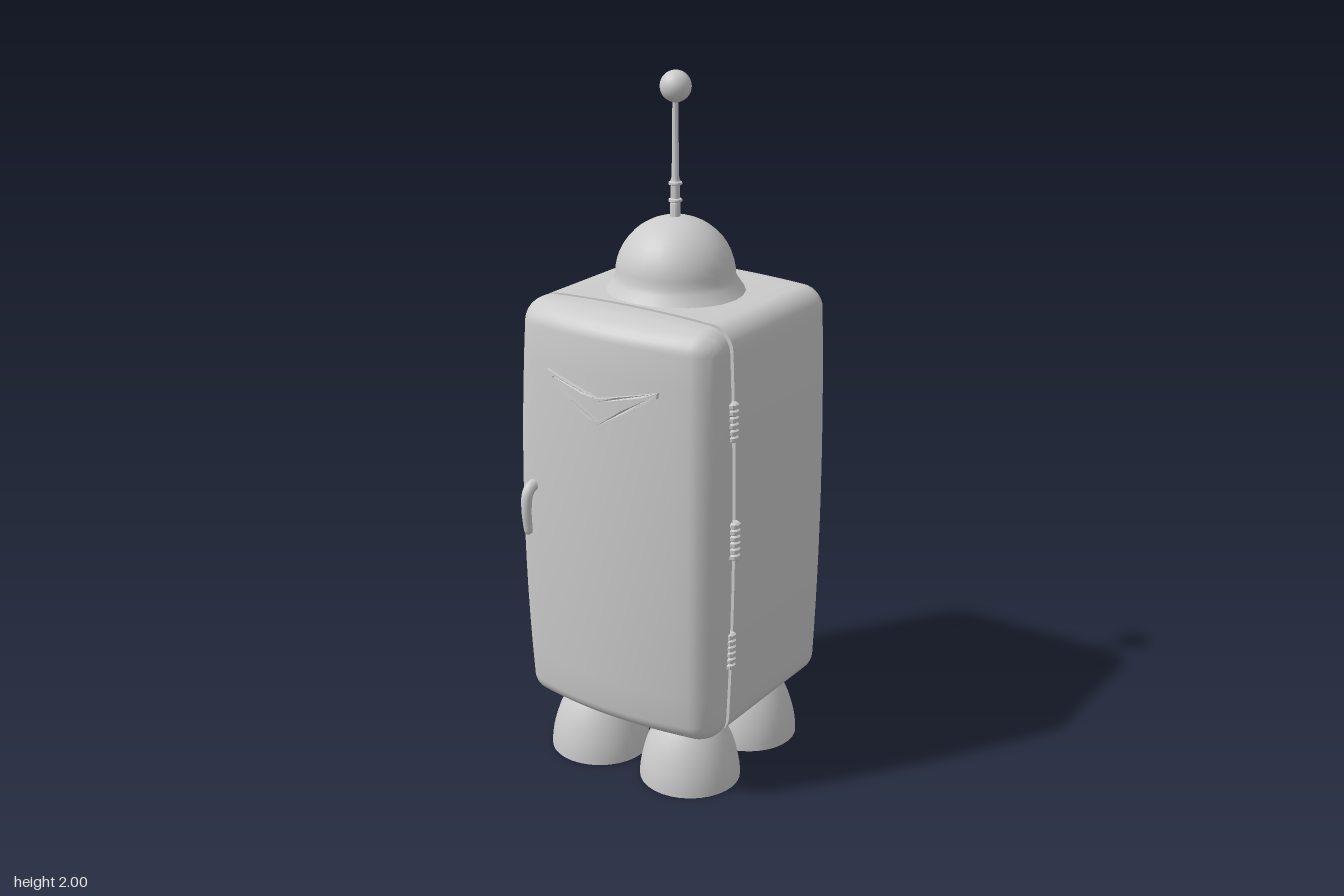
import * as THREE from 'three';
import { toCreasedNormals } from 'three/addons/utils/BufferGeometryUtils.js';

const grey = new THREE.MeshStandardMaterial({ color: 0xcccccc });
const greyThin = new THREE.MeshStandardMaterial({ color: 0xcccccc, side: THREE.DoubleSide });
const CX = -0.01, MID_Y = 0.79, HALF_Y = 0.6, HALF_X = 0.318;
const clamp = THREE.MathUtils.clamp;

function add(parent, name, geometry, x = 0, y = 0, z = 0, material = grey) {
  const mesh = new THREE.Mesh(geometry, material);
  mesh.name = name;
  mesh.position.set(x, y, z);
  parent.add(mesh);
  return mesh;
}

const lathe = (points, sides) =>
  new THREE.LatheGeometry(points.map(([r, y]) => new THREE.Vector2(Math.max(r, 0), y)), sides);

// Amount the door front swells outward at a given place
const doorSwell = (x, y) =>
  0.055 * (1 - (x / 0.33) ** 2) + 0.02 * (1 - ((y - MID_Y) / HALF_Y) ** 2);
const DOOR_BACK = 0.195, DOOR_EDGE = 0.27;

// Cabinet piece: box with rounded edges and swollen sides.
// round = -1 rounds the back face, 1 the front face, 0 neither
function shell(z0, z1, round, inset = 0) {
  const n = 20, band = 4, r = 0.06, hx = HALF_X - inset, hy = HALF_Y - inset;
  // gather grid lines near the edges, where the rounding is
  const spread = (t, lo, hi) => {
    const k = t * n, len = hi - lo, b = Math.min(r, len * 0.45);
    const edge = (e) => b * (1 - Math.tan((1 - e / band) * Math.PI / 4));
    if (k <= band) return lo + edge(k);
    if (k >= n - band) return hi - edge(n - k);
    return lo + b + (len - 2 * b) * (k - band) / (n - 2 * band);
  };
  const geo = new THREE.BoxGeometry(1, 1, 1, n, n, n);
  const pos = geo.attributes.position;
  const p = new THREE.Vector3(), inner = new THREE.Vector3();
  for (let i = 0; i < pos.count; i++) {
    p.fromBufferAttribute(pos, i).addScalar(0.5);
    p.set(spread(p.x, -hx, hx), spread(p.y, -hy, hy), spread(p.z, z0, z1));
    inner.set(clamp(p.x, -hx + r, hx - r), clamp(p.y, -hy + r, hy - r), p.z);
    if (round > 0) inner.z = Math.min(p.z, z1 - r);
    if (round < 0) inner.z = Math.max(p.z, z0 + r);
    p.sub(inner);
    if (p.lengthSq() > 1e-12) p.setLength(r);
    p.add(inner);
    const v = p.y / HALF_Y;
    // crowned top, swollen sides, bowed door
    if (round > 0) p.z += doorSwell(p.x, p.y + MID_Y) * (p.z - z0) / (z1 - z0);
    if (v > 0) p.y += 0.012 * (1 - (p.x / HALF_X) ** 2) * v;
    p.x *= 1 + 0.05 * (1 - v * v);
    pos.setXYZ(i, p.x, p.y, p.z);
  }
  return toCreasedNormals(geo, 0.7);
}

// Outlined chevron, bent to follow the door
function chevronGeometry() {
  const outline = (half, tip, topMid, lowMid, lowTip) => {
    const pts = [], steps = 12;
    for (let i = 0; i <= steps; i++) {
      const u = -1 + 2 * i / steps;
      pts.push(new THREE.Vector2(u * half, lowMid + (lowTip - lowMid) * Math.abs(u)));
    }
    for (let i = steps; i >= 0; i--) {
      const u = -1 + 2 * i / steps;
      pts.push(new THREE.Vector2(u * half, topMid + (tip - topMid) * Math.abs(u)));
    }
    return pts;
  };
  const shape = new THREE.Shape(outline(0.181, 1.23, 1.185, 1.109, 1.216));
  shape.holes.push(new THREE.Path(outline(0.155, 1.216, 1.176, 1.121, 1.211)));
  const geo = new THREE.ExtrudeGeometry(shape, { depth: 0.024, bevelEnabled: false });
  const pos = geo.attributes.position;
  for (let i = 0; i < pos.count; i++)
    pos.setZ(i, pos.getZ(i) + DOOR_EDGE - 0.012 + doorSwell(pos.getX(i), pos.getY(i)));
  geo.computeVertexNormals();
  return geo;
}

// Hooked handle: a tube whose rings swell and taper along its length
function handleGeometry() {
  const curve = new THREE.CatmullRomCurve3([[0.865, 0.29], [0.872, 0.325], [0.855, 0.346],
    [0.81, 0.353], [0.73, 0.346]].map(([y, z]) => new THREE.Vector3(0, y, z)));
  const rings = 24, sides = 12;
  const geo = new THREE.TubeGeometry(curve, rings, 1, sides);
  const pos = geo.attributes.position, p = new THREE.Vector3();
  for (let i = 0; i < pos.count; i++) {
    const u = Math.floor(i / (sides + 1)) / rings, c = curve.getPointAt(u);
    const end = Math.sqrt(1 - Math.max(0, (u - 0.92) / 0.08) ** 2);
    const r = (0.018 - 0.006 * u) * end;
    p.fromBufferAttribute(pos, i).sub(c).multiplyScalar(r).add(c);
    pos.setXYZ(i, p.x, p.y, p.z);
  }
  geo.computeVertexNormals();
  return geo;
}

// Serpentine coil: square path offset to both sides, then extruded with a bevel
function coilGeometry() {
  const rows = 9, pitch = 0.0965, side = 0.178, bevel = 0.012, h = 0.0225 - bevel;
  const path = [];
  for (let i = 0; i < rows; i++) {
    const y = 1.207 - i * pitch, s = i % 2 ? -1 : 1;
    path.push(new THREE.Vector2(i === 0 ? 0.013 : s * side, y));
    path.push(new THREE.Vector2(i === rows - 1 ? -0.013 : -s * side, y));
  }
  const normal = (a, b) => {
    const d = b.clone().sub(a).normalize();
    return new THREE.Vector2(-d.y, d.x);
  };
  const offset = (k) => path.map((p, i) => {
    const m = new THREE.Vector2();
    if (i > 0) m.add(normal(path[i - 1], p));
    if (i < path.length - 1) m.add(normal(p, path[i + 1]));
    return p.clone().addScaledVector(m, k);
  });
  const shape = new THREE.Shape([...offset(h), ...offset(-h).reverse()]);
  return new THREE.ExtrudeGeometry(shape, {
    depth: 0.04, bevelEnabled: true, bevelSize: bevel, bevelThickness: bevel, bevelSegments: 2,
  });
}

export function createModel() {
  const model = new THREE.Group();
  model.name = 'rocketFridge';

  // Cabinet, recessed seal and door
  add(model, 'cabinet', shell(-0.325, 0.18, -1), CX, MID_Y);
  add(model, 'doorSeal', shell(0.17, 0.205, 0, 0.018), CX, MID_Y);
  add(model, 'door', shell(DOOR_BACK, DOOR_EDGE, 1), CX, MID_Y);
  add(model, 'doorChevron', chevronGeometry(), CX);
  add(model, 'doorHandle', handleGeometry(), -0.255);

  // Ribbed hinges down the left side
  const knuckles = [[0, -0.055]];
  for (let i = 0; i < 6; i++) {
    const y = -0.055 + i * 0.0184;
    knuckles.push([0.012, y], [0.018, y + 0.004], [0.018, y + 0.014], [0.012, y + 0.018]);
  }
  knuckles.push([0, 0.055]);
  const hingeGeo = toCreasedNormals(lathe(knuckles, 10), 0.6);
  for (const [y, x] of [[1.14, 0.316], [0.802, 0.326], [0.468, 0.316]])
    add(model, 'hinge', hingeGeo, x, y, 0.189);

  // Coil on the back
  add(model, 'backCoil', coilGeometry(), 0, 0, -0.353);

  // Four open nozzle feet
  const bell = [];
  for (let i = 0; i <= 12; i++) {
    const y = 0.225 * i / 12;
    bell.push([0.146 * Math.sqrt(1 - (y / 0.236) ** 1.75), y]);
  }
  const bellGeo = lathe(bell, 32);
  for (const x of [-0.17, 0.15])
    for (const z of [0.135, -0.178]) add(model, 'nozzleFoot', bellGeo, x, 0, z, greyThin);

  // Dome with a flared skirt
  const dome = [[0.197, 1.375], [0.197, 1.395], [0.186, 1.41], [0.174, 1.428]];
  for (let i = 0; i <= 12; i++) {
    const a = i / 12 * Math.PI / 2;
    dome.push([0.167 * Math.cos(a), 1.442 + 0.163 * Math.sin(a)]);
  }
  add(model, 'dome', toCreasedNormals(lathe(dome, 24), 0.6), CX, 0, -0.024, greyThin);

  // Antenna with collars and a ball tip
  const rod = [[0.015, 1.59], [0.014, 1.64]];
  for (const y of [1.648, 1.695])
    rod.push([0.013, y - 0.006], [0.019, y - 0.003], [0.019, y + 0.003], [0.013, y + 0.006]);
  rod.push([0.01, 1.715], [0.008, 1.93]);
  add(model, 'antennaRod', toCreasedNormals(lathe(rod, 12), 0.6), CX - 0.001, 0, -0.024);
  add(model, 'antennaBall', new THREE.SphereGeometry(0.043, 24, 16), CX, 1.957, -0.024);

  return model;
}
